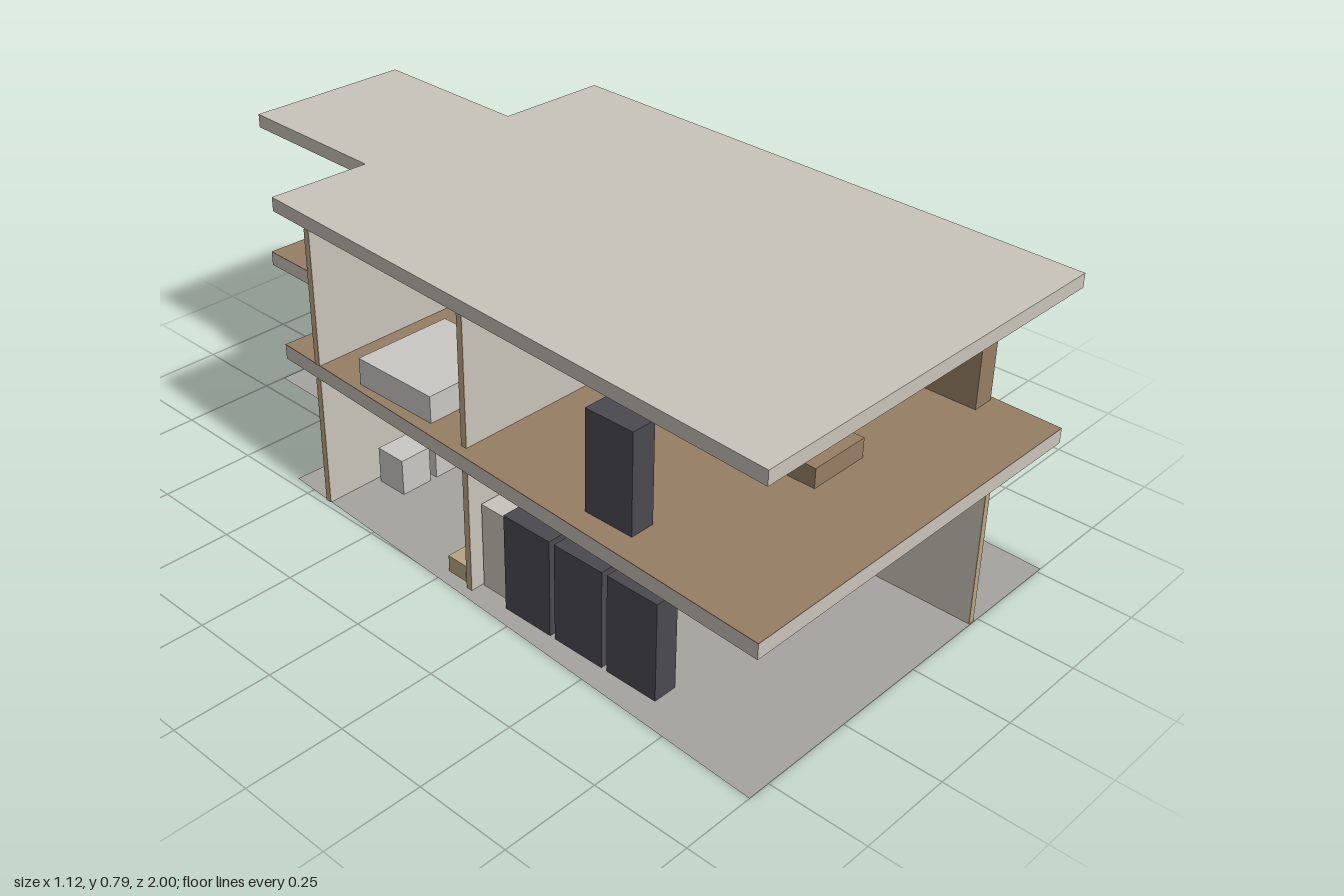
import * as THREE from 'three';

const mat = (name, color, side = THREE.FrontSide) => {
  const m = new THREE.MeshStandardMaterial({ color, side });
  m.name = name;
  return m;
};

export function createModel() {
  const house = new THREE.Group();
  house.name = 'house';

  const plaster = mat('beige plaster', 0xc9c4ba);
  const tan = mat('tan wall ends', 0xb8a485);
  const wood = mat('brown wood', 0x967e64);
  const dark = mat('dark charcoal', 0x4a494f);
  const blue = mat('blue fabric', 0x68788f);
  const paving = mat('grey ground', 0xa6a4a1, THREE.DoubleSide);
  const linen = mat('light grey', 0xcac8c4);

  const GROUND = 0.0005, CEIL = 0.355, FLOOR = 0.395, ROOF = 0.755;

  // Box given by its extents
  const box = (name, m, x0, x1, y0, y1, z0, z1, parent = house) => {
    const mesh = new THREE.Mesh(new THREE.BoxGeometry(x1 - x0, y1 - y0, z1 - z0), m);
    mesh.position.set((x0 + x1) / 2, (y0 + y1) / 2, (z0 + z1) / 2);
    mesh.name = name;
    parent.add(mesh);
    return mesh;
  };

  // Floor outline, shared by ground, middle slab and roof
  const outline = [[-0.56, 1], [0.515, 1], [0.56, -0.52], [0.25, -0.53],
    [0.263, -0.99], [-0.19, -1], [-0.2, -0.56], [-0.475, -0.57]];
  const toPoints = list => list.map(([x, z]) => new THREE.Vector2(x, -z));
  const plan = withStairwell => {
    const shape = new THREE.Shape(toPoints(outline));
    if (withStairwell) {
      shape.holes.push(new THREE.Path(toPoints(
        [[0.167, 0.08], [0.167, -0.425], [0.522, -0.425], [0.522, 0.08]])));
    }
    return shape;
  };
  const slab = (name, m, y0, y1, hole) => {
    const geo = new THREE.ExtrudeGeometry(plan(hole), { depth: y1 - y0, bevelEnabled: false });
    const mesh = new THREE.Mesh(geo.rotateX(-Math.PI / 2), m);
    mesh.position.y = y0;
    mesh.name = name;
    house.add(mesh);
  };
  const ground = new THREE.Mesh(new THREE.ShapeGeometry(plan(false)).rotateX(-Math.PI / 2), paving);
  ground.name = 'ground';
  house.add(ground);
  slab('middleSlab', plaster, CEIL, FLOOR - 0.002, true);
  slab('woodFloor', wood, FLOOR - 0.002, FLOOR, true);
  slab('roofSlab', plaster, ROOF, 0.791, false);

  // Wall along x or z from a to b, with tan ends and an optional doorway
  const wall = (name, axis, at, a, b, y0, y1, door) => {
    const g = new THREE.Group();
    g.name = name;
    house.add(g);
    const t = 0.0085, cap = 0.003;
    const piece = (part, m, u0, u1, v0, v1) => axis === 'x'
      ? box(part, m, u0, u1, v0, v1, at - t, at + t, g)
      : box(part, m, at - t, at + t, v0, v1, u0, u1, g);
    piece('endCapA', tan, a, a + cap, y0, y1);
    piece('endCapB', tan, b - cap, b, y0, y1);
    if (door) {
      piece('wallPanel', plaster, a + cap, door[0], y0, y1);
      piece('wallPanel', plaster, door[1], b - cap, y0, y1);
      piece('lintel', plaster, door[0], door[1], y0 + 0.318, y1);
    } else {
      piece('wallPanel', plaster, a + cap, b - cap, y0, y1);
    }
  };
  for (const [y0, y1, level] of [[GROUND, CEIL, 'lower'], [FLOOR, ROOF, 'upper']]) {
    wall(level + 'RearWall', 'x', -0.434, -0.485, 0.522, y0, y1, [0.015, 0.15]);
    wall(level + 'InnerWall', 'z', 0.004, -0.425, 0.078, y0, y1, [-0.24, -0.1]);
    wall(level + 'CrossWall', 'x', 0.0865, -0.485, level === 'lower' ? 0.0125 : -0.0045, y0, y1);
  }
  wall('longWall', 'z', 0.2285, 0.09, 0.998, GROUND, CEIL, [0.175, 0.315]);

  // Stairs: two flights around a landing, each tread with a short floating rail
  const stairs = new THREE.Group();
  stairs.name = 'stairs';
  house.add(stairs);
  box('landing', wood, 0.237, 0.52, 0.155, 0.185, -0.425, -0.205, stairs);
  for (let i = 0; i < 6; i++) {
    const z = 0.04 - 0.047 * i, y = 0.0308 * i;
    box('lowerStep', wood, 0.357, 0.52, y + GROUND, y + 0.0308, Math.max(z - 0.07, -0.28), z, stairs);
    box('lowerRail', dark, 0.511, 0.519, y + 0.148, y + 0.156, z - 0.049, z + 0.002, stairs);
    const zu = -0.245 + 0.054 * i, yu = 0.185 + 0.035 * i;
    box('upperStep', wood, 0.237, 0.328, yu, yu + 0.0345, zu, Math.min(zu + 0.075, 0.08), stairs);
    box('upperRail', dark, 0.313, 0.321, yu + 0.146, yu + 0.154, zu, zu + 0.052, stairs);
  }
  box('stairwellParapet', dark, 0.157, 0.165, FLOOR, 0.545, -0.425, 0.08);

  // Upper floor furniture
  box('sofa', blue, -0.112, 0.145, FLOOR, 0.488, 0.495, 0.59);
  box('coffeeTable', wood, -0.07, 0.102, FLOOR, 0.447, 0.66, 0.75);
  box('cabinet', wood, 0.445, 0.507, FLOOR, 0.562, 0.59, 0.815);
  box('tallUnit', dark, -0.475, -0.41, FLOOR, 0.652, 0.455, 0.59);
  box('bed', linen, -0.47, -0.2, FLOOR, 0.466, -0.29, -0.04);
  box('dresser', linen, -0.307, -0.1, FLOOR, 0.485, 0.01, 0.07);

  // Lower floor furniture
  for (let i = 0; i < 3; i++) {
    const z = 0.2 + 0.16 * i;
    box('wardrobe', dark, -0.475, -0.41, GROUND, 0.26, z, z + 0.145);
  }
  box('washUnit', plaster, -0.45, -0.38, GROUND, 0.23, 0.1, 0.197);
  box('closet', dark, -0.32, -0.19, GROUND, 0.26, -0.02, 0.07);
  box('stool', tan, -0.47, -0.41, GROUND, 0.045, 0.0, 0.06);
  for (const x of [-0.29, -0.18]) {
    box('lightUnit', linen, x - 0.045, x + 0.045, GROUND, 0.1, -0.41, -0.32);
  }
  box('lowTable', wood, -0.348, -0.242, GROUND, 0.05, 0.35, 0.45).rotation.y = Math.PI / 4;
  box('seat', tan, -0.365, -0.305, GROUND, 0.045, 0.45, 0.5).rotation.y = 0.35;

  return house;
}
